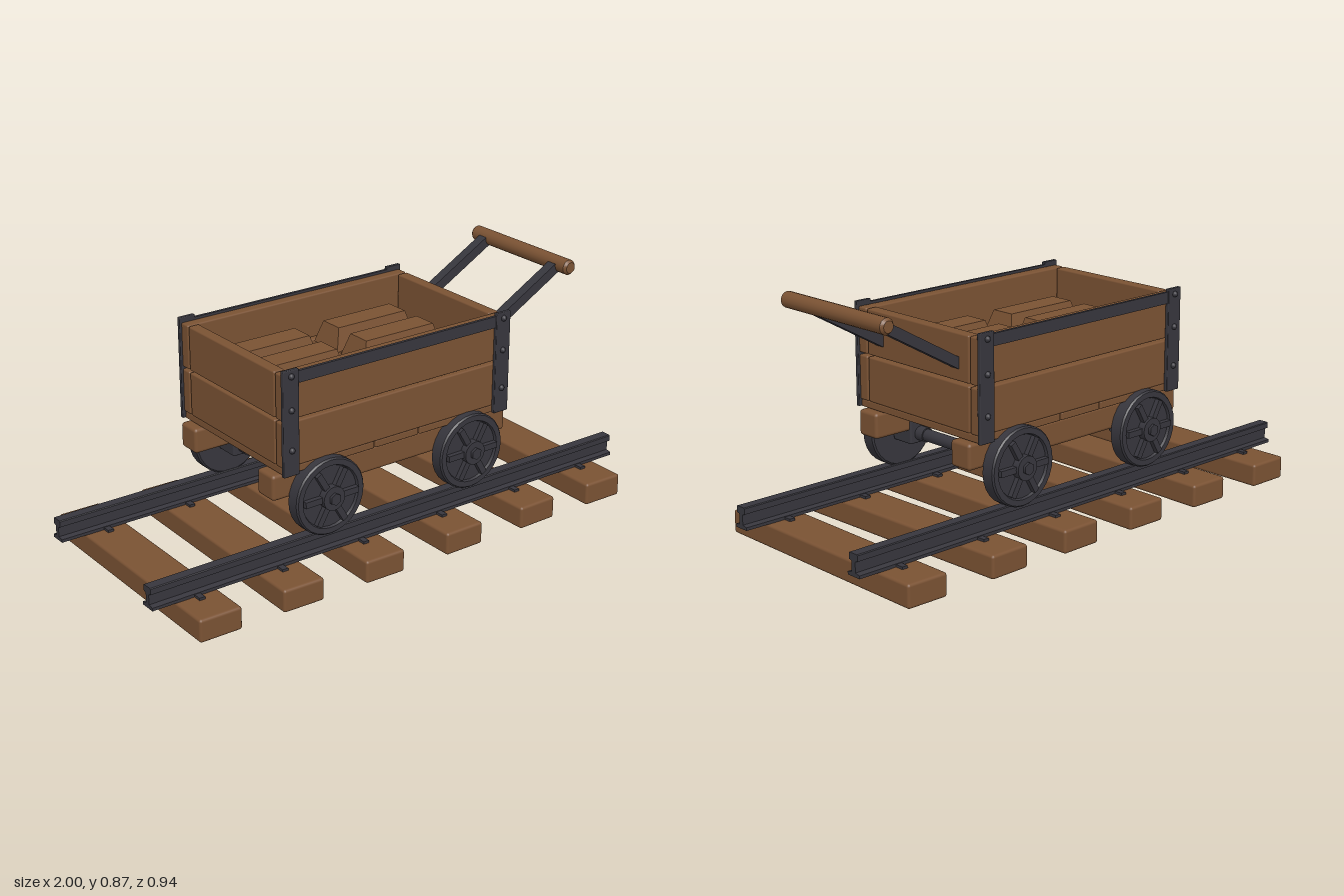
import * as THREE from 'three';
import { toCreasedNormals } from 'three/addons/utils/BufferGeometryUtils.js';
import { RoundedBoxGeometry } from 'three/addons/geometries/RoundedBoxGeometry.js';

export function createModel() {
  const wood = new THREE.MeshStandardMaterial({ color: 0x7a5233 });
  wood.name = 'wood';
  const iron = new THREE.MeshStandardMaterial({ color: 0x37363d });
  iron.name = 'iron';

  const model = new THREE.Group();
  model.name = 'railCart';

  const group = (name, parent = model) => {
    const g = new THREE.Group();
    g.name = name;
    parent.add(g);
    return g;
  };
  const add = (parent, name, geometry, material, x = 0, y = 0, z = 0) => {
    const m = new THREE.Mesh(geometry, material);
    m.name = name;
    m.position.set(x, y, z);
    parent.add(m);
    return m;
  };
  // Box given by its limits on each axis, with softened edges when r > 0
  const block = (parent, name, mat, [x0, x1], [y0, y1], [z0, z1], r = 0) => {
    const w = x1 - x0, h = y1 - y0, d = z1 - z0;
    const geo = r ? new RoundedBoxGeometry(w, h, d, 2, r) : new THREE.BoxGeometry(w, h, d);
    return add(parent, name, geo, mat, (x0 + x1) / 2, (y0 + y1) / 2, (z0 + z1) / 2);
  };
  // Cylinder lying along z
  const rod = (r, length, sides = 20) =>
    new THREE.CylinderGeometry(r, r, length, sides).rotateX(Math.PI / 2);
  const span = (a, b, side) => (side > 0 ? [a, b] : [-b, -a]);

  // Sleepers, each slightly askew, with rail clips
  const track = group('track');
  const sleepers = [[-0.828, -0.011], [-0.5, -0.021], [-0.167, -0.015],
    [0.167, 0.011], [0.5, 0.021], [0.836, -0.016]];
  for (const [x, yaw] of sleepers) {
    const s = group('sleeper', track);
    s.position.x = x;
    s.rotation.y = yaw;
    block(s, 'sleeperBeam', wood, [-0.08, 0.08], [0, 0.083], [-0.467, 0.467], 0.01);
    for (const side of [-1, 1])
      block(s, 'railClip', iron, [-0.011, 0.011], [0.08, 0.092], span(0.237, 0.355, side));
  }

  // Rails with an I-shaped section
  const half = [[0.029, 0.083], [0.029, 0.094], [0.009, 0.098], [0.009, 0.134],
    [0.021, 0.138], [0.021, 0.158], [0.018, 0.161]];
  const section = new THREE.Shape([
    ...half.map(([z, y]) => new THREE.Vector2(z, y)),
    ...half.slice().reverse().map(([z, y]) => new THREE.Vector2(-z, y)),
  ]);
  const railGeo = new THREE.ExtrudeGeometry(section, { depth: 2, bevelEnabled: false })
    .translate(0, 0, -1).rotateY(Math.PI / 2);
  for (const side of [-1, 1]) add(track, 'rail', railGeo, iron, 0, 0, side * 0.295);

  // Chassis beams, bearing blocks and axles
  const chassis = group('chassis');
  const wheelX = 0.305, wheelY = 0.29;
  for (const side of [-1, 1]) {
    block(chassis, 'chassisBeam', wood, [-0.503, 0.5], [0.305, 0.397], span(0.19, 0.282, side), 0.012);
    for (const x of [-wheelX, wheelX])
      block(chassis, 'bearingBlock', iron, [x - 0.045, x + 0.045], [0.256, 0.345],
        span(0.185, 0.278, side), 0.006);
  }
  for (const x of [-wheelX, wheelX]) {
    add(chassis, 'axle', rod(0.022, 0.6), iron, x, wheelY, 0);
    for (const side of [-1, 1])
      add(chassis, 'axleCollar', rod(0.026, 0.04), iron, x, wheelY, side * 0.168);
  }

  // Wheels: recessed disc, raised rim, six spokes, hub and bolt
  const profile = [[0, 0.28], [0.133, 0.28], [0.139, 0.285], [0.139, 0.329], [0.134, 0.335],
    [0.114, 0.335], [0.11, 0.326], [0, 0.326]].map(([r, y]) => new THREE.Vector2(r, y));
  const discGeo = toCreasedNormals(
    new THREE.LatheGeometry(profile, 28).rotateX(Math.PI / 2), 0.5);
  for (const x of [-wheelX, wheelX]) {
    for (const side of [-1, 1]) {
      const wheel = group('wheel');
      wheel.position.set(x, wheelY, 0);
      if (side < 0) wheel.rotation.y = Math.PI;
      add(wheel, 'wheelDisc', discGeo, iron);
      for (let i = 0; i < 6; i++) {
        const spoke = add(wheel, 'spoke',
          new THREE.BoxGeometry(0.085, 0.022, 0.02).translate(0.066, 0, 0), iron, 0, 0, 0.334);
        spoke.rotation.z = i * Math.PI / 3;
      }
      add(wheel, 'hub', rod(0.043, 0.04), iron, 0, 0, 0.334);
      add(wheel, 'hubBolt', rod(0.022, 0.03, 6), iron, 0, 0, 0.349);
    }
  }

  // Floor boards laid across the cart
  const body = group('body');
  const pitch = 0.19;
  for (let i = -2; i <= 2; i++)
    block(body, 'floorBoard', wood, [i * pitch - 0.092, i * pitch + 0.092], [0.398, 0.424],
      [-0.3, 0.3], 0.004);

  // Two rows of wall planks
  for (const rows of [[0.424, 0.584], [0.592, 0.754]]) {
    for (const side of [-1, 1]) {
      block(body, 'sidePlank', wood, [-0.475, 0.475], rows, span(0.261, 0.303, side), 0.006);
      block(body, 'endPlank', wood, span(0.433, 0.475, side), rows, [-0.256, 0.256], 0.006);
    }
  }

  // Iron corner straps with rivets, and top bands
  const rivetGeo = new THREE.SphereGeometry(0.011, 12, 8);
  for (const side of [-1, 1]) {
    block(body, 'topBand', iron, [-0.475, 0.475], [0.72, 0.762], span(0.302, 0.313, side));
    for (const end of [-1, 1]) {
      block(body, 'cornerStrap', iron, span(0.418, 0.481, end), [0.398, 0.772],
        span(0.302, 0.317, side), 0.003);
      for (const y of [0.49, 0.632, 0.75])
        add(body, 'rivet', rivetGeo, iron, end * 0.449, y, side * 0.317);
    }
  }

  // Bevelled blocks stacked in three layers
  const cargo = group('cargo');
  const ingot = (x, y, z, w, d) => {
    const geo = new THREE.BoxGeometry(w, 0.08, d);
    const p = geo.attributes.position;
    const inset = 0.024;
    for (let i = 0; i < p.count; i++) {
      if (p.getY(i) < 0) continue;
      p.setX(i, p.getX(i) - Math.sign(p.getX(i)) * inset);
      p.setZ(i, p.getZ(i) - Math.sign(p.getZ(i)) * inset);
    }
    geo.computeVertexNormals();
    add(cargo, 'cargoBlock', geo, wood, x, y + 0.04, z);
  };
  for (const y of [0.426, 0.588])
    for (const x of [-0.212, 0.212])
      for (const z of [-0.167, -0.006, 0.155]) ingot(x, y, z, 0.345, 0.14);
  for (let i = -2; i <= 2; i++) ingot(i * 0.163, 0.508, -0.005, 0.14, 0.345);

  // Push handle: two sloping arms and a round grip
  const handle = group('handle');
  const from = new THREE.Vector2(0.462, 0.647), to = new THREE.Vector2(0.808, 0.843);
  const run = to.clone().sub(from);
  for (const side of [-1, 1]) {
    const arm = add(handle, 'handleArm', new THREE.BoxGeometry(run.length(), 0.036, 0.038), iron,
      (from.x + to.x) / 2, (from.y + to.y) / 2, side * 0.19);
    arm.rotation.z = run.angle();
  }
  const gripProfile = [[0, -0.26], [0.02, -0.26], [0.028, -0.25], [0.028, 0.25], [0.02, 0.26], [0, 0.26]]
    .map(([r, y]) => new THREE.Vector2(r, y));
  add(handle, 'handleGrip', toCreasedNormals(
    new THREE.LatheGeometry(gripProfile, 16).rotateX(Math.PI / 2), 0.6), wood, 0.81, 0.843, 0);

  return model;
}
